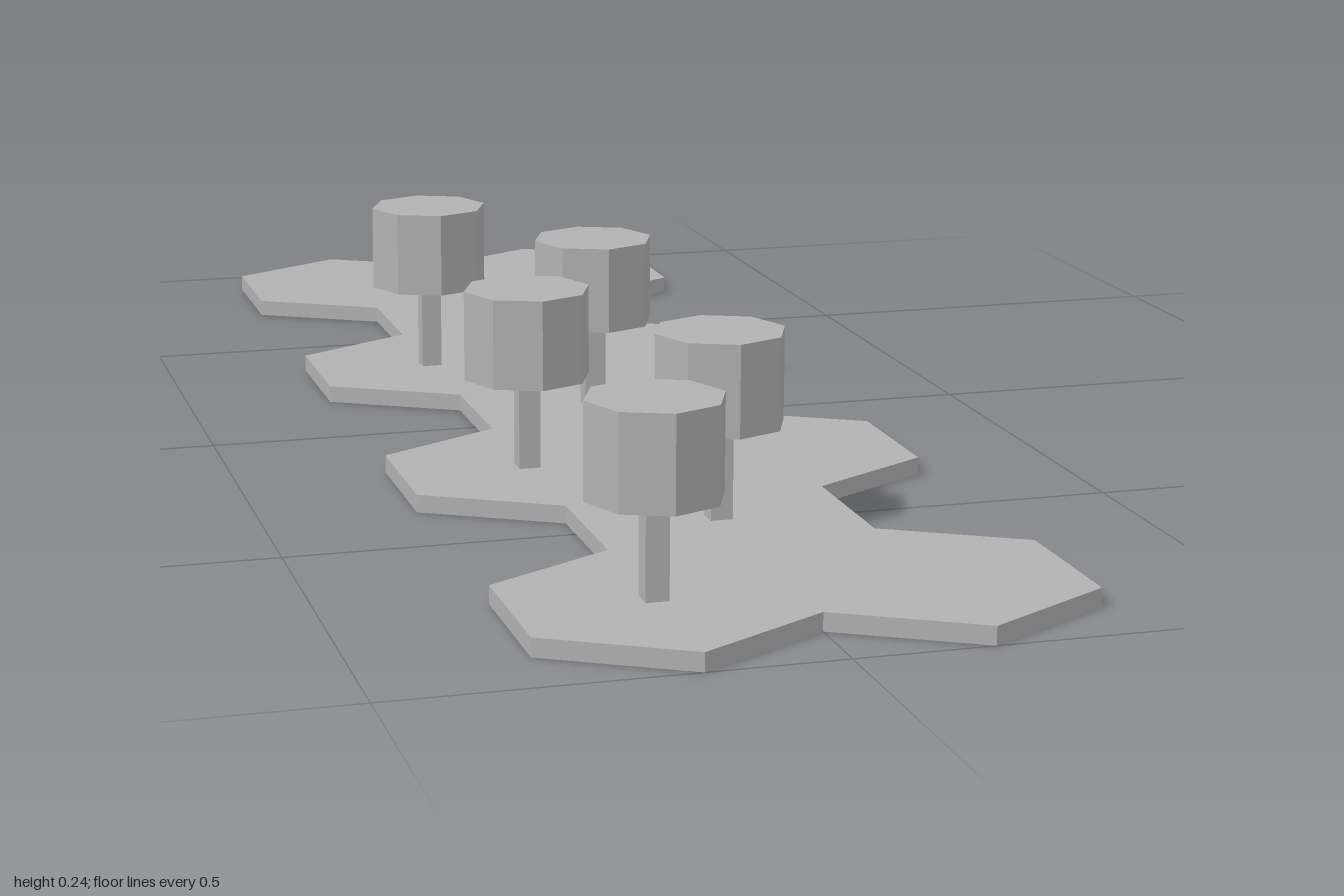
import * as THREE from 'three';

const R = 2 / 11;                      // hexagon corner radius
const HALF = R * Math.sqrt(3) / 2;     // hexagon half width
const ROW = 1.5 * R;                   // spacing of hexagon rows
const BASE = 0.0215, CANOPY_LOW = 0.1335, TOP = 0.2425;

export function createModel() {
  const group = new THREE.Group();
  const grey = new THREE.MeshStandardMaterial({ color: 0xb2b2b2, flatShading: true });
  grey.name = 'grey';

  const add = (parent, name, geometry, x, y, z) => {
    const mesh = new THREE.Mesh(geometry, grey);
    mesh.name = name;
    mesh.position.set(x, y, z);
    parent.add(mesh);
  };

  // Base: seven rows of hexagons, alternately two and one, as one outline
  const side = [[HALF, 1]];
  for (let row = -3; row <= 3; row += 2) {
    const z = -row * ROW;
    side.push([2 * HALF, z + R / 2], [2 * HALF, z - R / 2], [HALF, z - R]);
    if (row < 3) side.push([HALF, z - 2 * R]);
  }
  const outline = [
    [0, 1 - R / 2], ...side, [0, -1 + R / 2],
    ...side.slice().reverse().map(([x, z]) => [-x, z]),
  ];
  const shape = new THREE.Shape(outline.map(([x, z]) => new THREE.Vector2(x, z)));
  const slab = new THREE.ExtrudeGeometry(shape, { depth: BASE, bevelEnabled: false });
  slab.rotateX(-Math.PI / 2);
  add(group, 'hexagonBase', slab, 0, 0, 0);

  // Trees: square trunk with an eight-sided canopy, zigzagging along the rows
  const trunk = new THREE.BoxGeometry(0.0265, CANOPY_LOW - BASE, 0.0265);
  const canopy = new THREE.CylinderGeometry(0.0775, 0.0775, TOP - CANOPY_LOW, 8);
  for (let row = -1; row <= 3; row++) {
    const tree = new THREE.Group();
    tree.name = 'tree';
    tree.position.set(row % 2 ? -HALF : 0, 0, row * ROW);
    add(tree, 'trunk', trunk, 0, (BASE + CANOPY_LOW) / 2, 0);
    add(tree, 'canopy', canopy, 0, (CANOPY_LOW + TOP) / 2, 0);
    group.add(tree);
  }
  return group;
}
